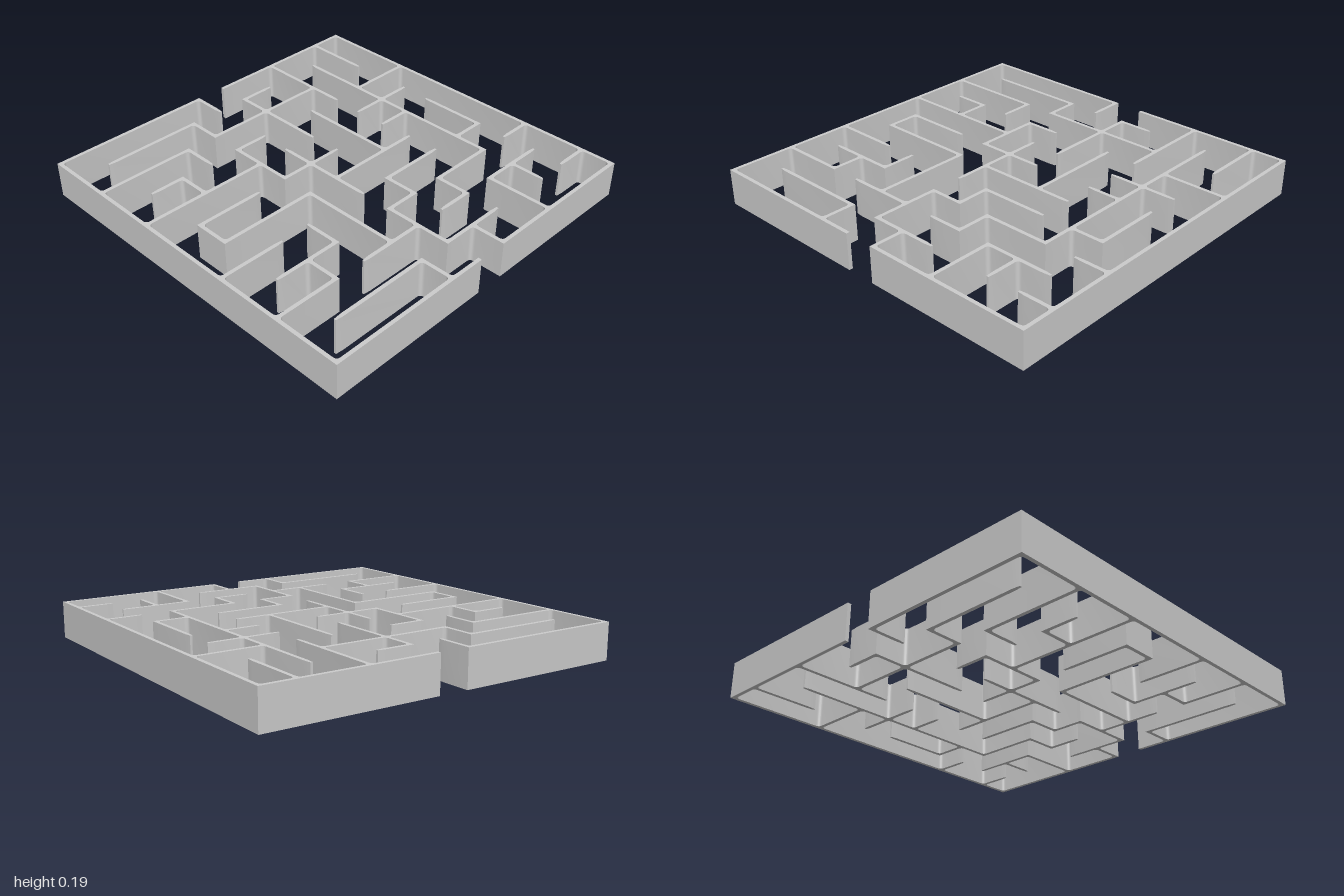
import * as THREE from 'three';
import { toCreasedNormals } from 'three/addons/utils/BufferGeometryUtils.js';

const CELLS = 11, STEP = 0.18, HALF = 0.01, HEIGHT = 0.195, FILLET = 0.022;

// Wall runs [from, to] along x for each grid row, back to front
const ROWS = [
  [[0, 5], [6, 11]], [[1, 4], [6, 7]], [[0, 3], [4, 8]], [[1, 2], [4, 5], [9, 11]],
  [[0, 4], [8, 10]], [[1, 3], [4, 6], [8, 9]], [[1, 4], [5, 8]], [[0, 2], [6, 8], [9, 10]],
  [[1, 3], [5, 6], [7, 9], [10, 11]], [[0, 2], [3, 5], [6, 7], [8, 10]],
  [[1, 4], [5, 7], [10, 11]], [[0, 5], [6, 11]],
];
// Wall runs [from, to] along z for each grid column, -x to +x
const COLUMNS = [
  [[0, 11]], [[5, 6]], [[3, 4], [8, 9]], [[2, 3], [7, 8]],
  [[1, 2], [3, 5], [6, 9], [10, 11]], [[0, 1], [4, 7], [8, 10]],
  [[1, 4], [7, 8], [10, 11]], [[3, 6], [8, 9]], [[0, 3], [9, 11]],
  [[1, 8], [9, 10]], [[0, 2], [5, 7]], [[0, 11]],
];

const DIRS = [[1, 0], [0, 1], [-1, 0], [0, -1]];
const key = (i, j, d) => `${i},${j},${d}`;

// Every unit of wall as two directed steps between grid nodes
function collectSteps() {
  const steps = new Set();
  ROWS.forEach((runs, j) => runs.forEach(([a, b]) => {
    for (let i = a; i < b; i++) steps.add(key(i, j, 0)).add(key(i + 1, j, 2));
  }));
  COLUMNS.forEach((runs, i) => runs.forEach(([a, b]) => {
    for (let j = a; j < b; j++) steps.add(key(i, j, 1)).add(key(i, j + 1, 3));
  }));
  return steps;
}

// Walk around one connected group of walls and draw its outline
function traceOutline(start, steps, visited) {
  const shape = new THREE.Shape();
  let first = true;
  const lineTo = (x, y) => {
    if (first) shape.moveTo(x, y); else shape.lineTo(x, y);
    first = false;
  };
  let [i, j, d] = start.split(',').map(Number);
  while (!visited.has(key(i, j, d))) {
    visited.add(key(i, j, d));
    const [dx, dy] = DIRS[d];
    i += dx;
    j += dy;
    const x = (i - CELLS / 2) * STEP, y = (j - CELLS / 2) * STEP;
    const [lx, ly] = DIRS[(d + 1) % 4];
    // point at a distance along the walk and a distance to its side
    const at = (along, side) => [x + dx * along + lx * side, y + dy * along + ly * side];
    const turn = [1, 0, 3, 2].find((t) => steps.has(key(i, j, (d + t) % 4)));
    if (turn === 1) { // inner corner, rounded
      lineTo(...at(-HALF - FILLET, HALF));
      shape.quadraticCurveTo(...at(-HALF, HALF), ...at(-HALF, HALF + FILLET));
    } else if (turn === 3) { // outer corner, sharp
      lineTo(...at(HALF, HALF));
    } else if (turn === 2) { // free end, slightly tapered inside the maze
      const rim = j === 0 || j === CELLS;
      const tip = rim ? HALF : 0.006;
      if (!rim) lineTo(...at(-0.03, HALF));
      lineTo(...at(HALF, tip));
      lineTo(...at(HALF, -tip));
      if (!rim) lineTo(...at(-0.03, -HALF));
    }
    d = (d + turn) % 4;
  }
  shape.closePath();
  return shape;
}

export function createModel() {
  const group = new THREE.Group();
  group.name = 'maze';
  const material = new THREE.MeshStandardMaterial({ color: 0xcccccc });
  const steps = collectSteps();
  const visited = new Set();
  let count = 0;
  for (const step of steps) {
    if (visited.has(step)) continue;
    const shape = traceOutline(step, steps, visited);
    const extruded = new THREE.ExtrudeGeometry(shape, {
      depth: HEIGHT, bevelEnabled: false, curveSegments: 5,
    });
    extruded.rotateX(Math.PI / 2).translate(0, HEIGHT, 0);
    const walls = new THREE.Mesh(toCreasedNormals(extruded, 0.6), material);
    walls.name = `mazeWalls${++count}`;
    group.add(walls);
  }
  return group;
}
